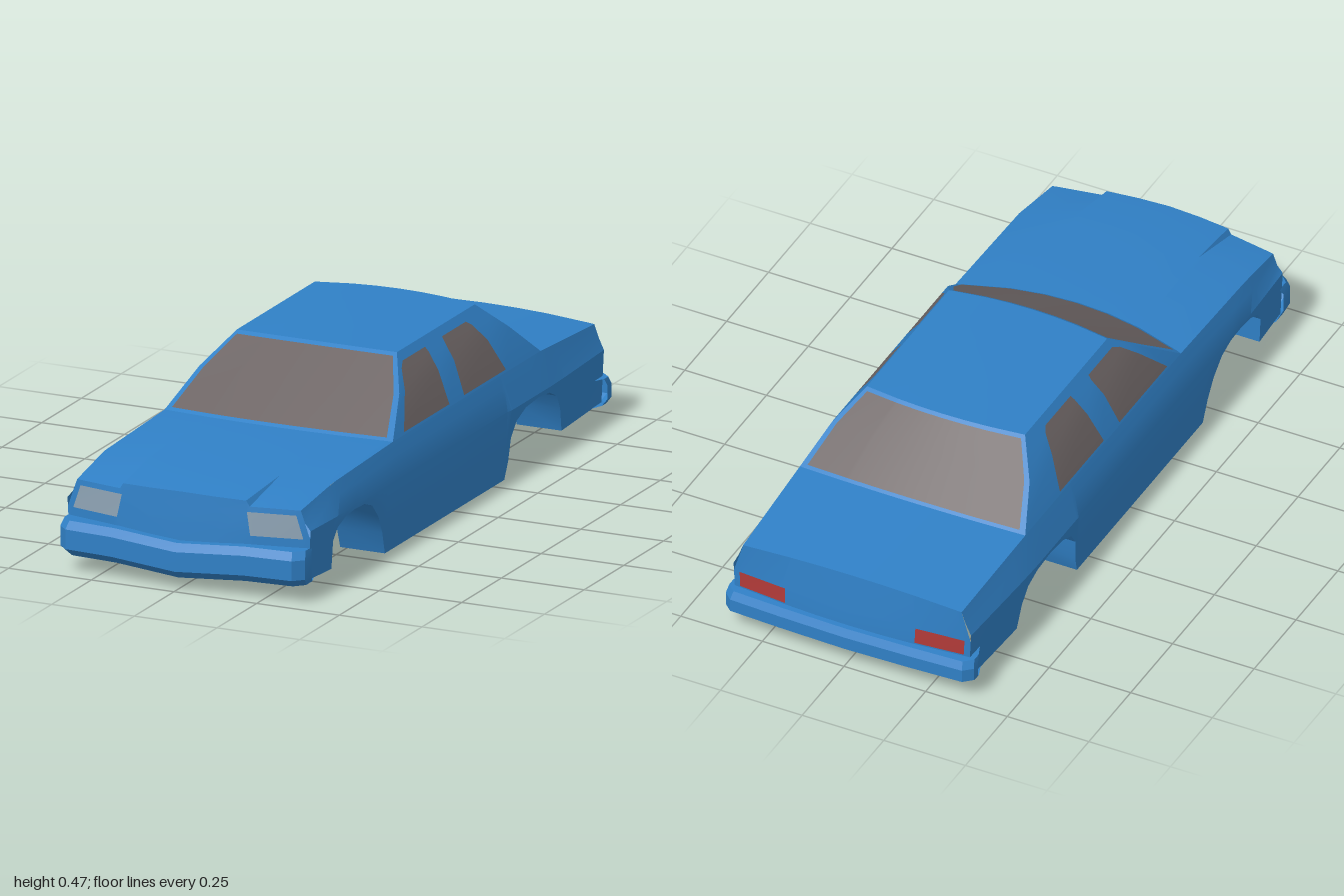
import * as THREE from 'three';
import { toCreasedNormals } from 'three/addons/utils/BufferGeometryUtils.js';

const mat = (name, color) =>
  new THREE.MeshStandardMaterial({ name, color, side: THREE.DoubleSide });

// Piecewise linear lookup in ascending [t, value] pairs
function at(pts, t) {
  let i = 1;
  while (i < pts.length - 1 && t > pts[i][0]) i++;
  const [a, va] = pts[i - 1], [b, vb] = pts[i];
  return va + (vb - va) * THREE.MathUtils.clamp((t - a) / (b - a), 0, 1);
}

// Body rules: shoulder-line height, plan taper and flank width
const belt = z => at([[-0.95, 0.265], [-0.59, 0.29], [0.34, 0.29], [0.72, 0.278], [0.905, 0.25]], z);
const taper = z => at([[-0.95, 0.97], [-0.59, 1], [0.72, 1], [0.905, 0.98]], z);
const flankX = (y, z) => {
  const flare = z < -0.33 && z > -0.7 ? 0.004 : 0, b = belt(z);
  return taper(z) * at([[0, 0.365], [0.195, 0.375 + flare], [b - 0.035, 0.358], [b, 0.345]], y);
};
const cabinX = y => at([[0.29, 0.345], [0.385, 0.302], [0.465, 0.242]], y);
const frontPillarZ = y => at([[0.29, 0.34], [0.385, 0.21], [0.465, 0.10]], y);
const rearPillarZ = y => at([[0.29, -0.59], [0.385, -0.48], [0.465, -0.39]], y);

// Column positions across the car, as fractions of the half width
const H = [1, 0.95, 0.58, 0.55, 0.28, 0];
const U = [...H.map(u => -u), ...H.slice(0, -1).reverse()];

// One bowed and crowned row of points across the car
function row(x, y, z, bow, crown) {
  return U.map(u => [
    x * u,
    y + (Array.isArray(crown) ? crown[H.indexOf(Math.abs(u))] : crown * (1 - u * u)),
    z + bow * (1 - u * u)]);
}

// Surface over a grid of points, keeping only the cells that pass the test
function surface(rows, keep = () => true) {
  const pos = [];
  for (let i = 0; i < rows.length - 1; i++)
    for (let j = 0; j < rows[0].length - 1; j++) {
      if (!keep(i, j)) continue;
      const a = rows[i][j], b = rows[i][j + 1], c = rows[i + 1][j + 1], d = rows[i + 1][j];
      pos.push(...a, ...b, ...c, ...a, ...c, ...d);
    }
  const geo = new THREE.BufferGeometry();
  geo.setAttribute('position', new THREE.Float32BufferAttribute(pos, 3));
  return toCreasedNormals(geo, 0.4);
}

const mirrored = rows => rows.map(r => r.map(([x, y, z]) => [-x, y, z]).reverse());

export function createModel() {
  const car = new THREE.Group();
  car.name = 'carBody';
  const paint = mat('bluePaint', 0x3080c6);
  const glass = mat('tintedGlass', 0x6c6464);
  const lamp = mat('headlightGlass', 0x8a9fb0);
  const red = mat('tailLightRed', 0xb03a38);

  const add = (name, rows, material = paint, keep) => {
    const mesh = new THREE.Mesh(surface(rows, keep), material);
    mesh.name = name;
    car.add(mesh);
  };
  // A painted panel with some cells in a second material
  const addSplit = (name, rows, insetName, insetMaterial, isInset) => {
    add(name, rows, paint, (i, j) => !isInset(i, j));
    add(insetName, rows, insetMaterial, isInset);
  };
  const addPair = (name, rows) => {
    add(name + 'Left', rows);
    add(name + 'Right', mirrored(rows));
  };
  const inLamp = (i, j) => i === 1 && [1, 2, 7, 8].includes(j);

  // Hood with raised centre, cowl to nose
  const hoodRow = (z, bow, crown) => row(flankX(belt(z), z), belt(z), z, bow, crown);
  const nose = hoodRow(0.905, 0.04, [0, 0, 0, 0.016, 0.018, 0.02]);
  const cowl = hoodRow(0.34, 0.06, 0.015);
  add('hood', [nose, hoodRow(0.72, 0.045, [0, 0.005, 0.011, 0.012, 0.014, 0.015]), cowl]);

  // Front face and headlights
  const faceRow = (y, z, bow) => row(flankX(y, z), y, z, bow, 0);
  addSplit('frontFace',
    [faceRow(0.05, 0.905, 0.055), faceRow(0.17, 0.905, 0.05), faceRow(0.235, 0.905, 0.043), nose],
    'headlights', lamp, inLamp);

  // Windshield, roof and rear window
  const cabinRow = (y, z, bow, crown) => row(cabinX(y), y, z, bow, crown);
  const levels = [0.29, 0.297, 0.385, 0.457, 0.465];
  const rise = [[0.29, 0.015], [0.465, 0.006]];
  const screen = levels.map(y =>
    cabinRow(y, frontPillarZ(y), at([[0.29, 0.06], [0.465, 0.018]], y), at(rise, y)));
  const rear = levels.map(y => cabinRow(y, rearPillarZ(y), -0.025, at(rise, y))).reverse();
  const isGlass = (i, j) => i > 0 && i < 3 && j > 0 && j < 9;
  addSplit('windshieldFrame', screen, 'windshield', glass, isGlass);
  add('roof', [screen[4], cabinRow(0.465, -0.15, 0, 0.008), rear[0]]);
  addSplit('rearWindowFrame', rear, 'rearWindow', glass, isGlass);

  // Trunk lid, rear face and tail lights
  const tail = hoodRow(-0.95, -0.005, 0.015);
  add('trunkLid', [rear[4], tail]);
  addSplit('rearFace',
    [tail, faceRow(0.172, -0.95, -0.018), faceRow(0.125, -0.95, -0.022), faceRow(0.04, -0.95, -0.025)],
    'tailLights', red, inLamp);

  // Cabin sides: z of the window edges at each height, front to back
  const windows = [
    [0.29, 0.27, -0.02, -0.113, -0.38],
    [0.296, 0.264, -0.022, -0.115, -0.377],
    [0.385, 0.175, -0.035, -0.135, -0.345],
    [0.43, 0.125, -0.045, -0.145, -0.318],
    [0.443, 0.098, -0.043, -0.15, -0.30],
    [0.465, 0.08, -0.043, -0.15, -0.29]];
  const side = windows.map(([y, ...zs]) =>
    [frontPillarZ(y), ...zs, rearPillarZ(y)].map(z => [cabinX(y), y, z]));
  const isWindow = (i, j) => i > 0 && i < 4 && (j === 1 || j === 3);
  addSplit('cabinSideLeft', side, 'sideWindowsLeft', glass, isWindow);
  addSplit('cabinSideRight', mirrored(side), 'sideWindowsRight', glass, isWindow);

  // Flanks: lower edge as [z, y], front to back, including both wheel arches
  const frontArch = [[0.77, 0.05], [0.768, 0.13], [0.745, 0.162], [0.70, 0.18], [0.64, 0.186],
    [0.58, 0.183], [0.53, 0.165], [0.485, 0.12], [0.455, 0.065], [0.432, 0]];
  const rearArch = [[-0.32, 0], [-0.337, 0.05], [-0.345, 0.115], [-0.375, 0.155], [-0.43, 0.178],
    [-0.51, 0.185], [-0.58, 0.178], [-0.63, 0.155], [-0.66, 0.11], [-0.68, 0.04]];
  const edge = [[0.905, 0.055], ...frontArch, [0.34, 0], [0, 0], ...rearArch, [-0.95, 0.045]];
  const heights = [
    (z, b) => b, (z, b) => (b + 0.195) / 2, () => 0.195, z => belt(z) - 0.035, z => belt(z)];
  addPair('flank', heights.map(h => edge.map(([z, b]) => [flankX(h(z, b), z), h(z, b), z])));

  // Wheel wells, open on the inside
  const well = arch => [
    arch.map(([z, y]) => [0.23, y, z]),
    arch.map(([z, y]) => [flankX(y, z), y, z])];
  addPair('frontWheelWell', well(frontArch));
  addPair('rearWheelWell', well(rearArch));

  // Bumpers: a section of [inset, y] swept along half a path of [x, z] and its mirror
  const bumper = (name, dir, path, section, dip) => {
    const full = [...path.map(([x, z]) => [-x, z]), ...path.slice(0, -1).reverse()];
    if (dir < 0) full.reverse();
    add(name, section.map(([inset, y]) => full.map(([x, z]) =>
      [x * (1 - inset), y - dip * Math.max(0, 1 - Math.abs(x) / 0.2), z - dir * inset])));
  };
  bumper('frontBumper', 1,
    [[0.37, 0.905], [0.37, 0.945], [0.342, 0.972], [0.2, 0.982], [0, 0.997]],
    [[0.07, 0.045], [0.025, 0.045], [0, 0.068], [0, 0.124], [0.015, 0.146], [0.07, 0.146]], 0.012);
  bumper('rearBumper', -1,
    [[0.38, -0.94], [0.38, -0.965], [0.355, -0.988], [0.2, -0.995], [0, -1]],
    [[0.06, 0.045], [0.02, 0.045], [0, 0.06], [0, 0.098], [0.012, 0.12], [0.06, 0.122]], 0);

  return car;
}
